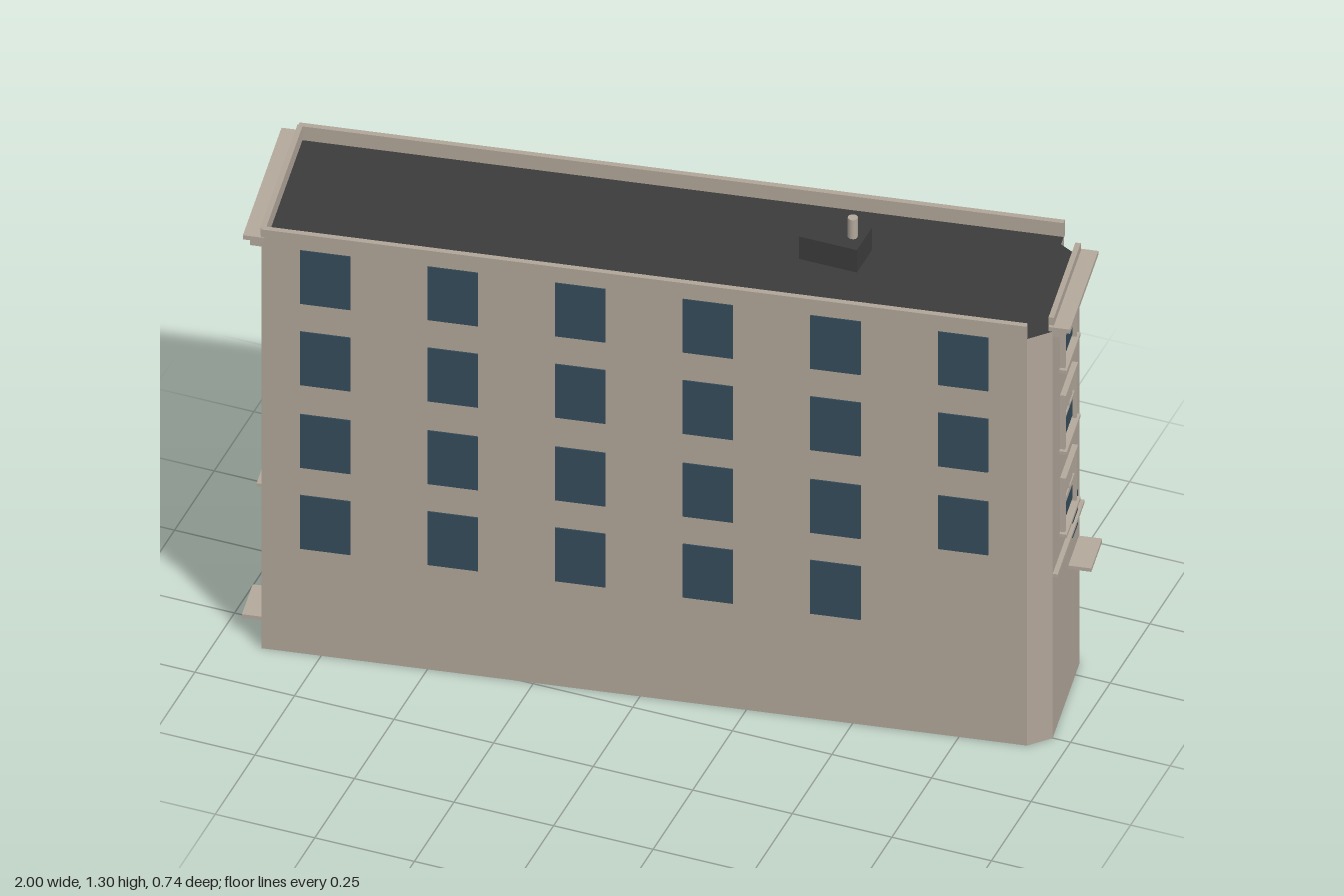
import * as THREE from 'three';

const mat = (name, color) => {
  const m = new THREE.MeshStandardMaterial({ color });
  m.name = name;
  return m;
};

export function createModel() {
  const wall = mat('stone wall', 0xb0a599);
  const trim = mat('stone trim', 0xb3a99c);
  const glass = mat('dark glass', 0x344b5a);
  const roof = mat('roof felt', 0x3c3c3c);

  const model = new THREE.Group();
  model.name = 'apartmentBuilding';

  // Box given by its min and max on each axis
  const box = (parent, name, material, x0, x1, y0, y1, z0, z1) => {
    const m = new THREE.Mesh(new THREE.BoxGeometry(x1 - x0, y1 - y0, z1 - z0), material);
    m.position.set((x0 + x1) / 2, (y0 + y1) / 2, (z0 + z1) / 2);
    m.name = name;
    parent.add(m);
    return m;
  };

  // The whole block stands at a slight angle
  const block = new THREE.Group();
  block.name = 'block';
  block.rotation.y = 0.168;
  model.add(block);

  const L = -0.937, R = 0.889, END = 0.9415, F = 0.2013, B = -0.214, ROOF = 1.18, TOP = 1.22;

  // Main body with cut corners at the right end; roof and underside are the caps
  const plan = [[L, F], [R, F], [END, 0.16], [END, -0.14], [R, -0.179], [R, B], [L, B]];
  const shape = new THREE.Shape(plan.map(([x, z]) => new THREE.Vector2(x, -z)));
  const bodyGeo = new THREE.ExtrudeGeometry(shape, { depth: ROOF, bevelEnabled: false });
  bodyGeo.rotateX(-Math.PI / 2);
  const body = new THREE.Mesh(bodyGeo, [roof, wall]);
  body.name = 'body';
  block.add(body);

  // Parapets on the long sides
  box(block, 'frontParapet', wall, L, R, ROOF - 0.005, TOP, F - 0.008, F + 0.006);
  box(block, 'backParapet', wall, L, R, ROOF - 0.005, TOP, B - 0.008, B + 0.006);

  // Plain windows on the long sides; the lowest one nearest the right end is left out
  const rows = [0.305, 0.54, 0.78, 1.016];
  const pitch = (R - L) / 6;
  rows.forEach((y, r) => {
    for (let i = 0; i < 6; i++) {
      if (r === 0 && i === 5) continue;
      const x = L + (i + 0.5) * pitch;
      for (const [name, z] of [['frontWindow', F], ['backWindow', B]]) {
        box(block, name, glass, x - 0.06, x + 0.06, y, y + 0.155, z - 0.003, z + 0.003);
      }
    }
  });

  // Sash window with frame, sill and half-drawn blind; outward is +z
  const sashWindow = (parent, y, blindDrop) => {
    const g = new THREE.Group();
    g.name = 'sashWindow';
    g.position.y = y;
    parent.add(g);
    const h = 0.155, w = 0.068;
    box(g, 'pane', glass, -0.058, 0.058, 0.008, h - 0.008, -0.002, 0.003);
    box(g, 'blind', trim, -0.048, 0.048, h - 0.01 - blindDrop, h - 0.01, 0.002, 0.005);
    for (const s of [-1, 1]) {
      const c = s * (w - 0.005);
      box(g, 'jamb', trim, c - 0.005, c + 0.005, 0, h, 0, 0.012);
    }
    box(g, 'head', trim, -w, w, h - 0.009, h + 0.001, 0, 0.014);
    box(g, 'meetingRail', trim, -0.058, 0.058, 0.073, 0.08, 0, 0.008);
    box(g, 'mullion', trim, -0.003, 0.003, 0.078, h - 0.009, 0, 0.008);
    box(g, 'sill', trim, -0.077, 0.077, -0.009, 0, 0, 0.018);
  };

  // End facade: half width, window rows, side door pane and canopy
  const endFacade = (name, x, z, turn, half, windows, pane, canopy) => {
    const g = new THREE.Group();
    g.name = name;
    g.position.set(x, 0, z);
    g.rotation.y = turn;
    block.add(g);
    windows.forEach(([y, drop]) => sashWindow(g, y, drop));
    box(g, 'stringCourse', trim, -half, half, 0.468, 0.477, 0, 0.012);
    box(g, 'sidePane', glass, pane[0] - 0.028, pane[0] + 0.028, pane[1], pane[1] + 0.1, -0.002, 0.005);
    box(g, 'canopy', trim, canopy[0] - 0.06, canopy[0] + 0.06, canopy[1], canopy[1] + 0.01, 0, 0.055);
    // Cornice: two stepped slabs on brackets, with a parapet above
    box(g, 'corniceSlab', trim, -half - 0.008, half + 0.008, 1.186, 1.198, -0.008, 0.043);
    box(g, 'corniceBand', trim, -half, half, 1.166, 1.186, 0, 0.028);
    box(g, 'endParapet', wall, -half, half, ROOF, TOP, -0.01, 0.003);
    for (let i = 0; i < 4; i++) {
      const c = (i - 1.5) * half * 0.435;
      box(g, 'bracket', trim, c - 0.008, c + 0.008, 1.143, 1.166, 0, 0.022);
    }
  };
  endFacade('rightEnd', END, 0.01, Math.PI / 2, 0.15,
    [[0.54, 0.09], [0.78, 0.07], [1.016, 0.07]], [0.081, 0.435], [0.084, 0.365]);
  endFacade('leftEnd', L, (F + B) / 2, -Math.PI / 2, (F - B) / 2,
    [[0.305, 0.07], [0.54, 0.09], [0.78, 0.07], [1.016, 0.07]], [0.1, 0.12], [0.11, 0.053]);

  // Rooftop hatch and vent pipe
  box(model, 'roofHatch', roof, 0.3, 0.445, ROOF - 0.01, 1.245, -0.142, -0.046);
  const pipe = new THREE.Mesh(new THREE.CylinderGeometry(0.012, 0.012, 0.06, 12), trim);
  pipe.name = 'ventPipe';
  pipe.position.set(0.416, 1.27, -0.093);
  model.add(pipe);

  return model;
}
